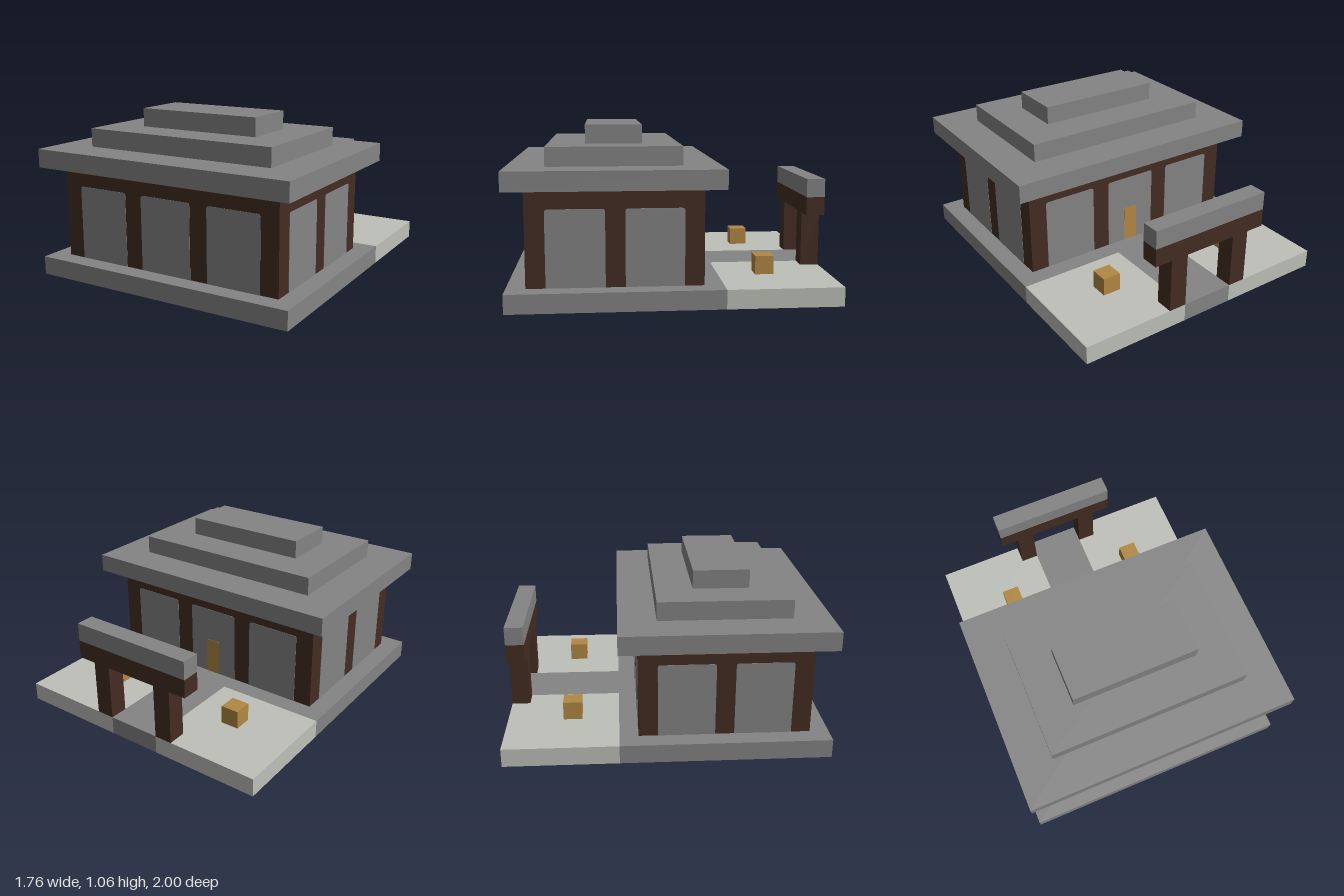
import * as THREE from 'three';

const U = 2 / 17; // the design follows a square module

const mat = (name, color) => {
  const m = new THREE.MeshStandardMaterial({ color });
  m.name = name;
  return m;
};

export function createModel() {
  const stone = mat('stone grey', 0x848484);
  const paving = mat('pale paving', 0xbec0b9);
  const wood = mat('dark wood', 0x432c22);
  const gold = mat('golden wood', 0xb18843);

  const model = new THREE.Group();
  model.name = 'pavilion';

  // Box given by its limits in modules
  const box = (name, material, [x0, x1], [y0, y1], [z0, z1], parent = model) => {
    const mesh = new THREE.Mesh(
      new THREE.BoxGeometry((x1 - x0) * U, (y1 - y0) * U, (z1 - z0) * U), material);
    mesh.position.set((x0 + x1) / 2 * U, (y0 + y1) / 2 * U, (z0 + z1) / 2 * U);
    mesh.name = name;
    parent.add(mesh);
    return mesh;
  };

  // Thin upright plate with softened top corners, standing on the plinth
  const plate = (name, material, w, h, thick, parent, x, z, turn) => {
    const r = 0.018, a = w / 2;
    const s = new THREE.Shape();
    s.moveTo(-a, 0);
    s.lineTo(a, 0);
    s.lineTo(a, h - r);
    s.quadraticCurveTo(a, h, a - r, h);
    s.lineTo(-a + r, h);
    s.quadraticCurveTo(-a, h, -a, h - r);
    s.closePath();
    const geo = new THREE.ExtrudeGeometry(s, { depth: thick, bevelEnabled: false, curveSegments: 4 });
    const mesh = new THREE.Mesh(geo, material);
    mesh.name = name;
    mesh.position.set(x, U, z);
    mesh.rotation.y = turn;
    parent.add(mesh);
  };

  // Plinth, garden path and paved courts
  box('plinth', stone, [-7.5, 7.5], [0, 1], [-2.5, 8.5]);
  box('gardenPath', stone, [-1.5, 1.5], [0, 1], [-8.5, -2.5]);
  box('rightCourt', paving, [-7.5, -1.5], [0, 1], [-8.5, -2.5]);
  box('leftCourt', paving, [1.5, 7.5], [0, 1], [-8.5, -2.5]);

  // Hall with three bays front and back, two on each side
  const hall = new THREE.Group();
  hall.name = 'hall';
  model.add(hall);
  box('timberFrame', wood, [-6.5, 6.5], [1, 6], [-1.5, 7.5], hall);
  const t = 0.002;
  for (const x of [-4, 0, 4]) {
    plate('frontPanel', stone, 3 * U, 4 * U, t, hall, x * U, 7.5 * U, 0);
    plate('backPanel', stone, 3 * U, 4 * U, t, hall, x * U, -1.5 * U, Math.PI);
  }
  for (const z of [1, 5]) {
    plate('leftPanel', stone, 3 * U, 4 * U, t, hall, 6.5 * U, z * U, Math.PI / 2);
    plate('rightPanel', stone, 3 * U, 4 * U, t, hall, -6.5 * U, z * U, -Math.PI / 2);
  }
  plate('backDoor', gold, 0.1, 0.245, 2 * t, hall, 0, -1.5 * U, Math.PI);

  // Stepped roof
  [[7.5, -2.5, 8.5], [5.5, -0.5, 6.5], [3.5, 1.5, 4.5]].forEach(([x, z0, z1], i) =>
    box('roofTier', stone, [-x, x], [6 + i, 7 + i], [z0, z1]));

  // Garden gate
  const gate = new THREE.Group();
  gate.name = 'gate';
  model.add(gate);
  box('gateBeam', wood, [-3.5, 3.5], [4, 5], [-8.5, -7.5], gate);
  box('gateRoof', stone, [-3.5, 3.5], [5, 6], [-8.5, -7.5], gate);

  // Mirrored gate posts and garden blocks
  for (const s of [-1, 1]) {
    box('gatePost', wood, [2 * s - 0.5, 2 * s + 0.5], [1, 4], [-8.5, -7.5], gate);
    box('gardenBlock', gold, [4 * s - 0.5, 4 * s + 0.5], [1, 2], [-5.5, -4.5]);
  }

  return model;
}
